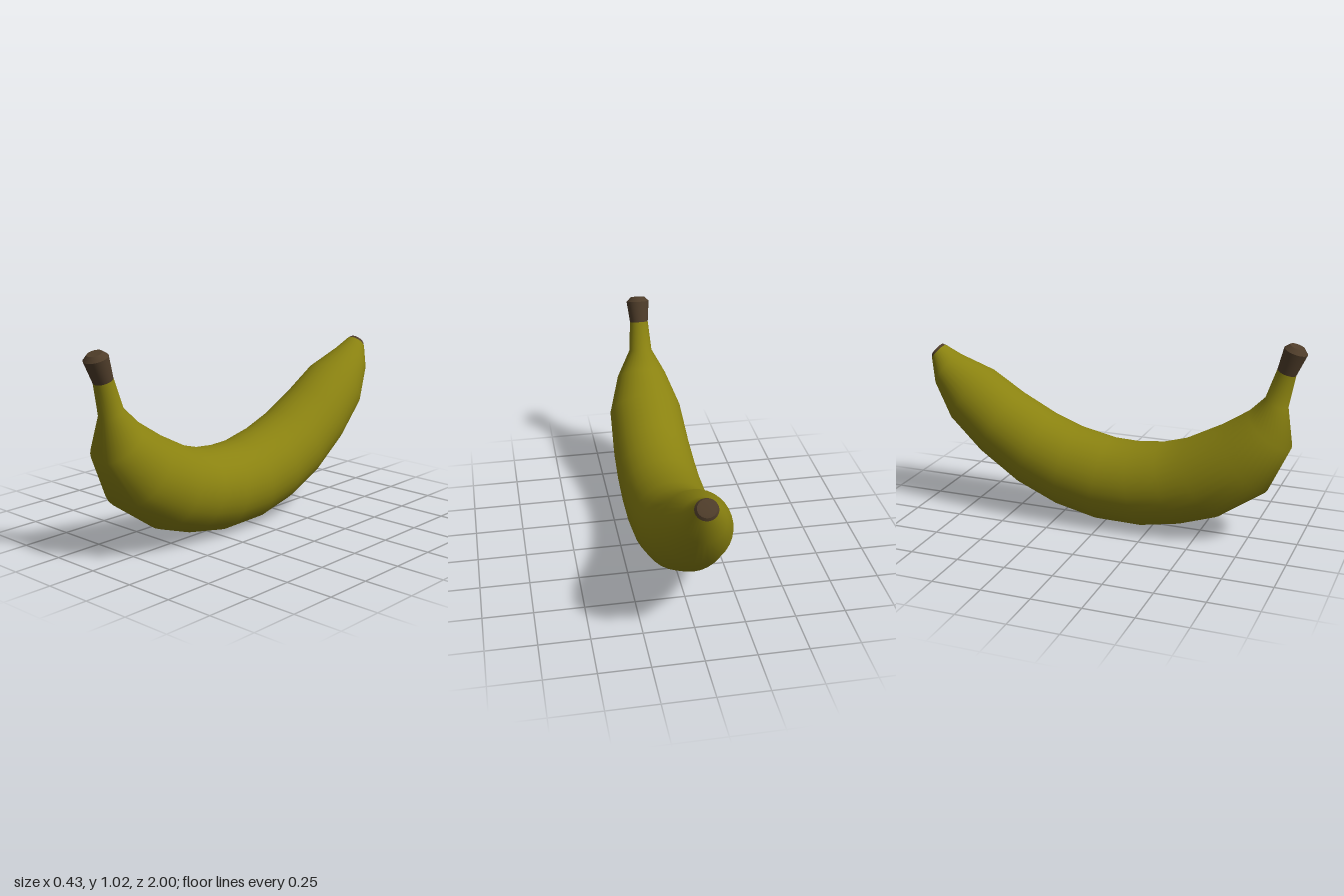
import * as THREE from 'three';

const SIDES = 32;
const peel = new THREE.MeshStandardMaterial({ color: 0x8a8210 });
const bark = new THREE.MeshStandardMaterial({ color: 0x4f3d2a });

// Smooth skin over elliptical rings, each given as
// [inner z, inner y, outer z, outer y, half width in x]
function loft(name, rings, material) {
  const positions = [], index = [];
  rings.forEach(([zi, yi, zo, yo, w], r) => {
    for (let s = 0; s < SIDES; s++) {
      const a = (s / SIDES) * Math.PI * 2;
      const c = Math.cos(a) / 2;
      positions.push(w * Math.sin(a), (yi + yo) / 2 + c * (yi - yo), (zi + zo) / 2 + c * (zi - zo));
      if (r === rings.length - 1) continue;
      const p = r * SIDES + s, q = r * SIDES + (s + 1) % SIDES;
      index.push(p, q, p + SIDES, q, q + SIDES, p + SIDES);
    }
  });
  const geometry = new THREE.BufferGeometry();
  geometry.setAttribute('position', new THREE.Float32BufferAttribute(positions, 3));
  geometry.setIndex(index);
  geometry.computeVertexNormals();
  const mesh = new THREE.Mesh(geometry, material);
  mesh.name = name;
  return mesh;
}

// Ring shrunk to the middle of another ring, to close an end
function centre([zi, yi, zo, yo]) {
  const z = (zi + zo) / 2, y = (yi + yo) / 2;
  return [z, y, z, y, 0];
}

export function createModel() {
  const group = new THREE.Group();
  group.name = 'banana';

  // Curved body, from the neck at the front to the blunt tip at the back
  const neck = [0.86, 0.90, 0.95, 0.87, 0.05];
  const tip = [-0.932, 0.845, -0.998, 0.768, 0.055];
  group.add(loft('peel', [
    neck,
    [0.807, 0.75, 0.92, 0.708, 0.063],
    [0.727, 0.67, 0.946, 0.504, 0.135],
    [0.59, 0.58, 0.838, 0.27, 0.198],
    [0.405, 0.483, 0.603, 0.107, 0.21],
    [0.276, 0.445, 0.415, 0.043, 0.214],
    [0.13, 0.43, 0.206, 0.003, 0.215],
    [0.01, 0.434, -0.046, 0.006, 0.215],
    [-0.17, 0.472, -0.26, 0.054, 0.213],
    [-0.314, 0.525, -0.485, 0.15, 0.205],
    [-0.5, 0.622, -0.70, 0.295, 0.19],
    [-0.668, 0.73, -0.877, 0.46, 0.167],
    [-0.85, 0.80, -0.973, 0.638, 0.105],
    tip,
  ], peel));

  // Flared stem with a bevelled, cut end
  const rim = [0.888, 1.01, 1.0, 0.975, 0.062];
  const cut = [0.915, 1.026, 0.985, 1.003, 0.038];
  group.add(loft('stem', [rim, neck], bark));
  group.add(loft('stemBevel', [cut, rim], bark));
  group.add(loft('stemEnd', [centre(cut), cut], bark));

  // Dark scar on the tip
  const scarRim = [-0.948, 0.85, -1.0, 0.785, 0.045];
  const scar = [-0.96, 0.838, -0.994, 0.797, 0.028];
  group.add(loft('tipBevel', [tip, scarRim], bark));
  group.add(loft('tipScar', [scarRim, scar, centre(scar)], bark));

  return group;
}
